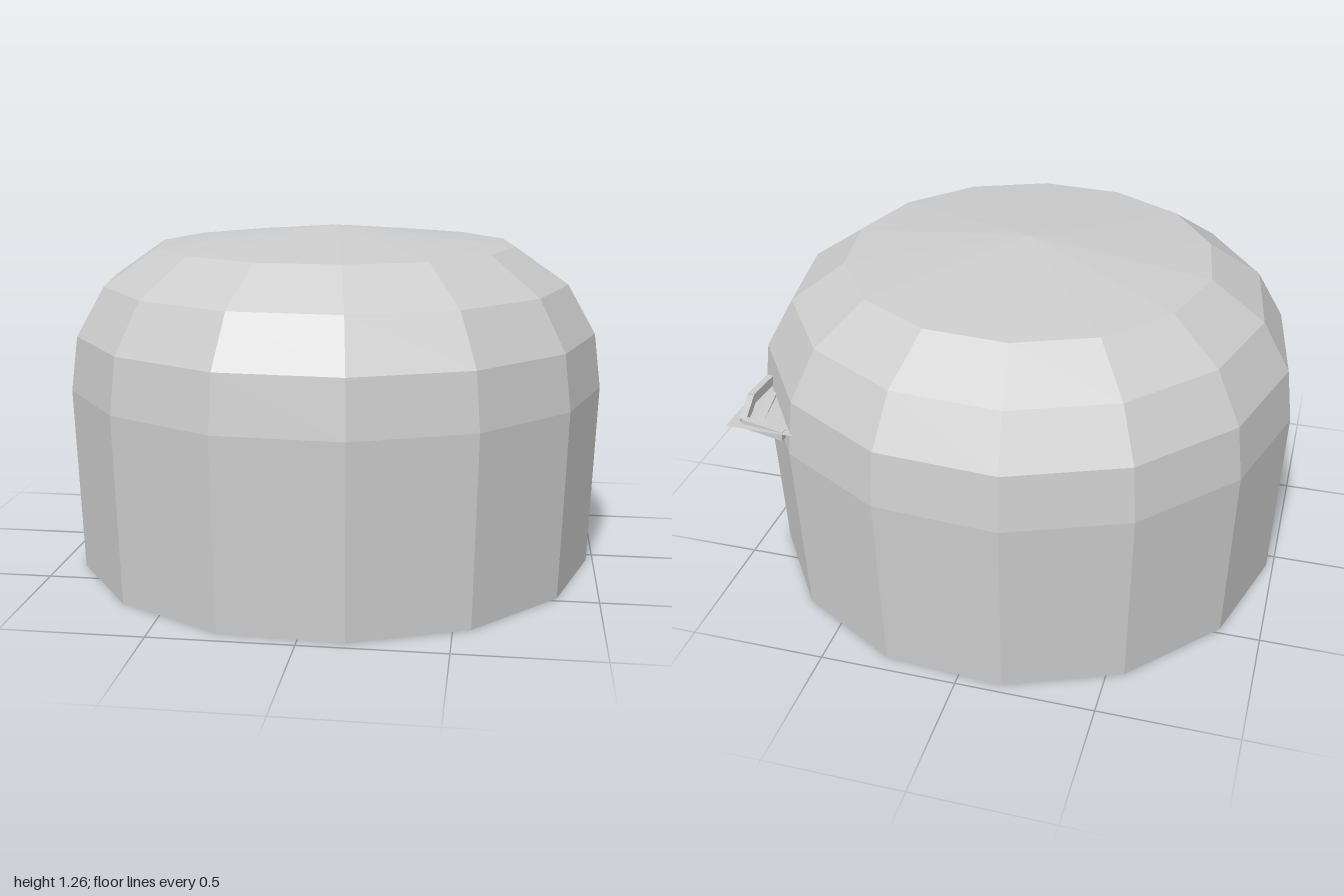
import * as THREE from 'three';

const gray = new THREE.MeshStandardMaterial({ color: 0xcccccc, flatShading: true, side: THREE.DoubleSide });
gray.name = 'light gray';

function add(group, geometry, name) {
  const mesh = new THREE.Mesh(geometry, gray);
  mesh.name = name;
  group.add(mesh);
  return mesh;
}

// Faceted shell of revolution, open underneath
function shell(profile) {
  const points = profile.map(([r, y]) => new THREE.Vector2(r, y));
  const geometry = new THREE.LatheGeometry(points, 14, 0.163).toNonIndexed();
  geometry.computeVertexNormals();
  return geometry;
}

// Thin flat bar joining two points
function bar(group, from, to, width, thickness, name) {
  const a = new THREE.Vector3(...from), b = new THREE.Vector3(...to);
  const mesh = add(group, new THREE.BoxGeometry(width, thickness, a.distanceTo(b)), name);
  mesh.position.copy(a).add(b).multiplyScalar(0.5);
  mesh.lookAt(b);
}

export function createModel() {
  const model = new THREE.Group();
  model.name = 'domedHut';

  add(model, shell([[0.977, 0], [1.001, 0.68]]), 'wall');
  add(model, shell([[1.001, 0.68], [0.975, 0.88], [0.872, 1.06], [0.675, 1.195]]), 'roofShoulder');
  add(model, shell([[0.675, 1.195], [0, 1.265]]), 'roofCap');

  // Small bracket on the back corner: a flat leaf with bent bars around it
  const bracket = new THREE.Group();
  bracket.name = 'bracket';
  const leaf = new THREE.Shape([[0.65, 0.75], [0.9, 0.75], [0.9, 0.4]].map(([x, y]) => new THREE.Vector2(x, y)));
  const leafGeometry = new THREE.ShapeGeometry(leaf);
  leafGeometry.rotateX(-Math.PI / 2);
  add(bracket, leafGeometry, 'leaf').position.y = 0.76;

  const path = [[0.86, 0.79, -0.46], [0.87, 0.79, -0.6], [0.85, 0.76, -0.71], [0.69, 0.745, -0.73]];
  for (let i = 0; i < path.length - 1; i++) bar(bracket, path[i], path[i + 1], 0.025, 0.035, 'bentBar');
  bar(bracket, [0.83, 0.755, -0.51], [0.8, 0.745, -0.69], 0.03, 0.03, 'innerBar');
  model.add(bracket);

  return model;
}
